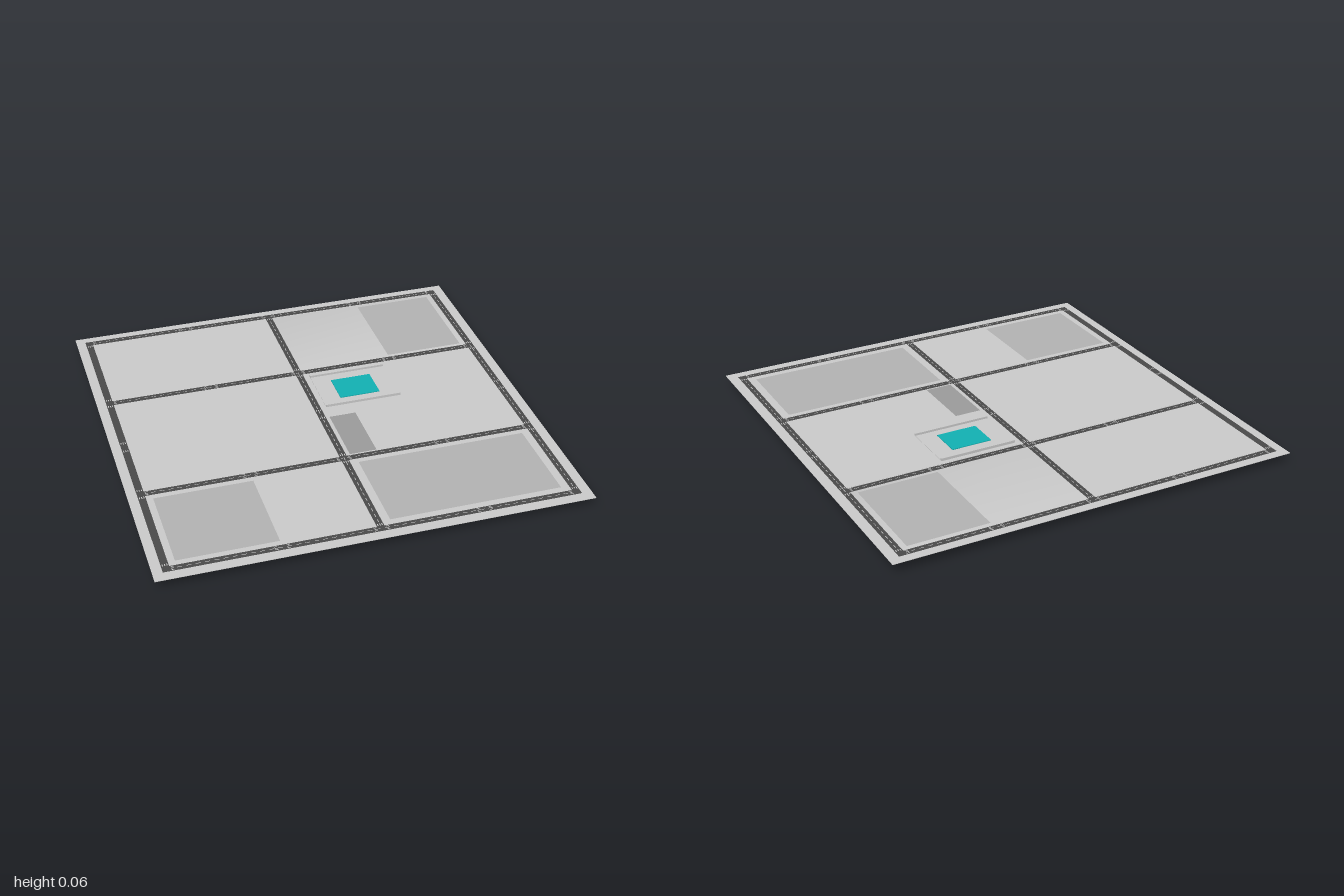
import * as THREE from 'three';
import { mergeVertices } from 'three/addons/utils/BufferGeometryUtils.js';

const material = (color) => new THREE.MeshStandardMaterial({ color });
const grey = material(0xcccccc);
const asphalt = material(0x4a4a4a);
const lawn = material(0xb4b4b4);
const paving = material(0x9c9c9c);
const teal = material(0x12b2b4);

const GROUND = 0.05;

// Box given by its limits on each axis
function slab(name, mat, [x0, x1], [y0, y1], [z0, z1]) {
  const geometry = new THREE.BoxGeometry(x1 - x0, y1 - y0, z1 - z0);
  const mesh = new THREE.Mesh(geometry, mat);
  mesh.position.set((x0 + x1) / 2, (y0 + y1) / 2, (z0 + z1) / 2);
  mesh.name = name;
  return mesh;
}

// Flat sheet facing up
function sheet(name, mat, [x0, x1], [z0, z1], y) {
  const geometry = new THREE.PlaneGeometry(x1 - x0, z1 - z0).rotateX(-Math.PI / 2);
  const mesh = new THREE.Mesh(geometry, mat);
  mesh.position.set((x0 + x1) / 2, y, (z0 + z1) / 2);
  mesh.name = name;
  return mesh;
}

export function createModel() {
  const model = new THREE.Group();
  model.name = 'cityBase';

  // Ground plate
  model.add(slab('ground', grey, [-1, 1], [GROUND - 0.003, GROUND - 0.001], [-1, 1]));

  // Six blocks hanging below the ground, each with its own depth
  const columns = [[-0.92, 0], [0.03, 0.92]];
  const rows = [[-0.92, -0.375], [-0.34, 0.385], [0.42, 0.92]];
  const bottoms = [[0.012, 0.012, 0.015], [0, 0.007, 0.013]];
  columns.forEach((x, i) => rows.forEach((z, j) => {
    const block = slab('cityBlock', grey, x, [bottoms[i][j], GROUND - 0.0005], z);
    // The deepest block has soft, shared corners
    if (bottoms[i][j] === 0) {
      block.geometry.deleteAttribute('normal');
      block.geometry.deleteAttribute('uv');
      block.geometry = mergeVertices(block.geometry);
      block.geometry.computeVertexNormals();
    }
    model.add(block);
  }));

  // Road grid
  const roads = new THREE.Group();
  roads.name = 'roads';
  const roadX = [-0.938, 0.015, 0.935];
  const roadZ = [-0.942, -0.365, 0.395, 0.935];
  const half = 0.017;
  const roadY = GROUND + 0.0004;
  const paintY = GROUND + 0.0012;
  for (const x of roadX) {
    roads.add(sheet('avenue', asphalt, [x - half, x + half], [-0.959, 0.952], roadY));
  }
  for (const z of roadZ) {
    roads.add(sheet('street', asphalt, [-0.955, 0.952], [z - half, z + half], roadY));
  }
  model.add(roads);

  // Paint laid along or across a road
  const markings = new THREE.Group();
  markings.name = 'roadMarkings';
  const paint = (name, alongX, road, at, length, offset, width) => {
    const a = [at - length / 2, at + length / 2];
    const b = [road + offset - width / 2, road + offset + width / 2];
    markings.add(sheet(name, grey, alongX ? a : b, alongX ? b : a, paintY));
  };
  // Striped crossing made of short bars
  const crossing = (alongX, road, at) => {
    for (let k = -1; k <= 1; k++) paint('crossing', alongX, road, at, 0.014, k * 0.01, 0.004);
  };

  // Centre dashes
  for (let s = -0.88; s < 0.9; s += 0.04) {
    for (const z of roadZ) paint('laneDash', true, z, s, 0.022, 0, 0.003);
    for (const x of roadX.slice(1)) paint('laneDash', false, x, s, 0.022, 0, 0.003);
  }

  // Crossings beside each junction and halfway along the roads
  for (const z of roadZ) {
    for (const x of roadX) {
      for (const side of [-0.028, 0.028]) {
        if (Math.abs(x + side) < 0.95) crossing(true, z, x + side);
        if (Math.abs(z + side) < 0.95) crossing(false, x, z + side);
      }
    }
    for (const x of [-0.46, -0.405, 0.465, 0.52]) crossing(true, z, x);
  }
  for (const x of roadX) {
    for (const z of [-0.015, 0.05]) crossing(false, x, z);
  }
  model.add(markings);

  // Lots laid on the blocks
  const lotY = GROUND + 0.0004;
  model.add(sheet('backLot', lawn, [0.5, 0.89], [-0.9, -0.4], lotY));
  model.add(sheet('frontRightLot', lawn, [-0.89, -0.43], [0.44, 0.89], lotY));
  model.add(sheet('frontLeftLot', lawn, [0.07, 0.88], [0.44, 0.885], lotY));
  model.add(sheet('pavedLot', paving, [0.05, 0.18], [0.05, 0.37], lotY));

  // Plaza with a pool between two low walls
  model.add(slab('plaza', grey, [0.06, 0.44], [GROUND - 0.001, GROUND + 0.0015], [-0.305, -0.043]));
  model.add(slab('pool', teal, [0.15, 0.35], [GROUND, GROUND + 0.005], [-0.25, -0.09]));
  model.add(slab('backWall', grey, [0.06, 0.44], [GROUND - 0.001, 0.062], [-0.318, -0.305]));
  model.add(slab('frontWall', grey, [0.06, 0.44], [GROUND - 0.001, 0.062], [-0.043, -0.035]));

  return model;
}
